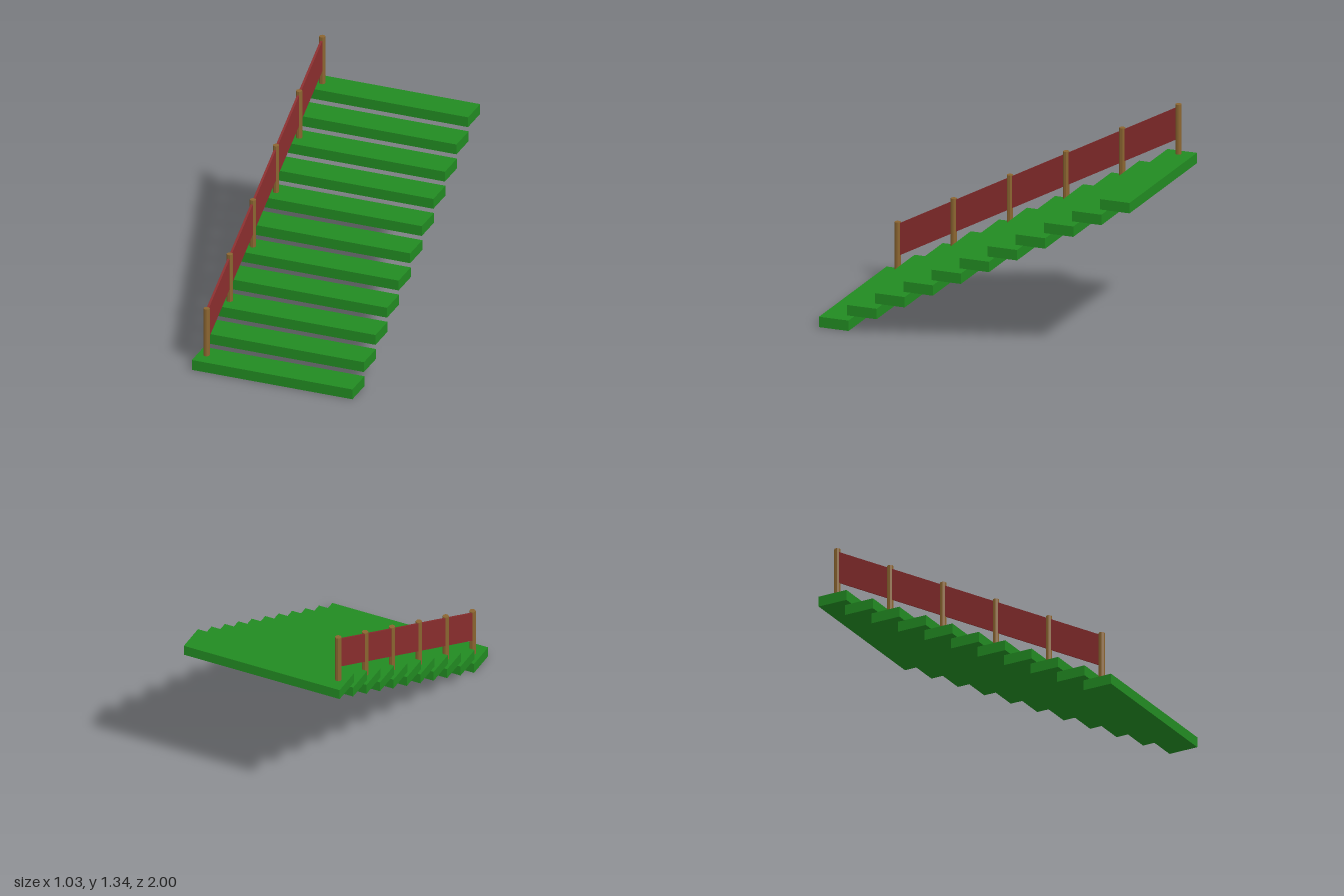
import * as THREE from 'three';

const STEPS = 11, RISE = 0.0968, RUN = 0.181, THICK = 0.065;
const FRONT_Z = 0.905, RAIL_X = -0.459;

export function createModel() {
  const model = new THREE.Group();
  model.name = 'staircase';
  const paint = (color) => new THREE.MeshStandardMaterial({ color, flatShading: true });
  const green = paint(0x228b22), brown = paint(0x8b6530), red = paint(0x8b2e2e);

  const add = (name, geometry, material, x, y, z) => {
    const mesh = new THREE.Mesh(geometry, material);
    mesh.name = name;
    mesh.position.set(x, y, z);
    model.add(mesh);
  };

  // Floating treads, with a railing post on every second one
  const tread = new THREE.BoxGeometry(1.03, THICK, 0.19);
  const postHeight = 0.31;
  const post = new THREE.CylinderGeometry(0.019, 0.019, postHeight, 8);
  post.rotateY(Math.PI / 8);
  for (let i = 0; i < STEPS; i++) {
    const y = i * RISE, z = FRONT_Z - i * RUN;
    add('tread', tread, green, 0, y + THICK / 2, z);
    if (i % 2 === 0) add('post', post, brown, RAIL_X, y + THICK + postHeight / 2, z);
  }

  // Sloping panel: a box sheared to follow the stairs
  const length = (STEPS - 1) * RUN;
  const panel = new THREE.BoxGeometry(0.014, 0.2, length);
  const p = panel.attributes.position;
  for (let i = 0; i < p.count; i++) p.setY(i, p.getY(i) - p.getZ(i) * RISE / RUN);
  panel.computeVertexNormals();
  add('railingPanel', panel, red, RAIL_X, 0.26 + (STEPS - 1) * RISE / 2, 0);

  return model;
}
